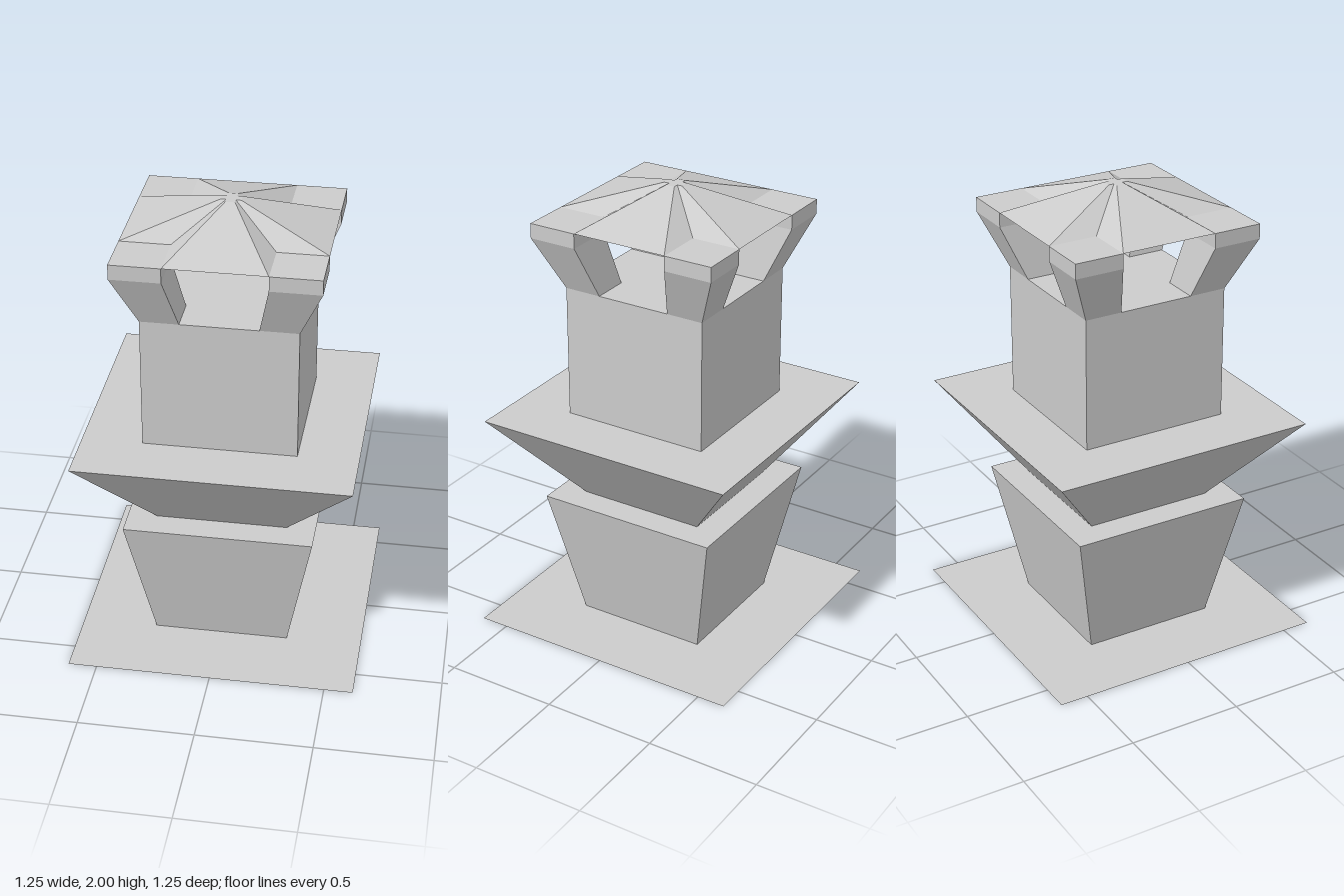
import * as THREE from 'three';

const material = new THREE.MeshStandardMaterial({ color: 0xcccccc, flatShading: true });
const thin = new THREE.MeshStandardMaterial({ color: 0xcccccc, flatShading: true, side: THREE.DoubleSide });

function part(name, geometry, mat = material) {
  const mesh = new THREE.Mesh(geometry, mat);
  mesh.name = name;
  return mesh;
}

// Square solid of revolution from [half width, height] pairs, bottom to top
function squareStack(profile) {
  const points = profile.map(([half, y]) => new THREE.Vector2(half * Math.SQRT2, y));
  return new THREE.LatheGeometry(points, 4, Math.PI / 4).toNonIndexed();
}

// Corner post that leans outward, then rises straight to the roof edge
function postGeometry() {
  const geometry = new THREE.BoxGeometry(1, 1, 1, 1, 2, 1);
  const levels = [[1.575, 0.165, 0.33], [1.81, 0.215, 0.43], [1.875, 0.215, 0.43]];
  const pos = geometry.attributes.position;
  for (let i = 0; i < pos.count; i++) {
    const [y, inner, outer] = levels[Math.round((pos.getY(i) + 0.5) * 2)];
    pos.setXYZ(i, pos.getX(i) > 0 ? outer : inner, y, pos.getZ(i) > 0 ? outer : inner);
  }
  return geometry.toNonIndexed();
}

// Cross-shaped ring of 12 points: a = half arm width, b = arm reach
function crossRing(a, b, y) {
  const ring = [];
  let arm = [[-a, b], [a, b], [a, a]];
  for (let k = 0; k < 4; k++) {
    ring.push(...arm.map(([x, z]) => [x, y, z]));
    arm = arm.map(([x, z]) => [z, -x]);
  }
  return ring;
}

// Hollow cross-shaped roof tapering to a tiny flat cross
function roofGeometry() {
  const low = crossRing(0.215, 0.43, 1.875);
  const high = crossRing(0.02, 0.043, 2);
  const v = [];
  for (let i = 0; i < 12; i++) {
    const j = (i + 1) % 12;
    v.push(...low[i], ...low[j], ...high[j], ...low[i], ...high[j], ...high[i]);
    v.push(0, 2, 0, ...high[i], ...high[j]);
  }
  const geometry = new THREE.BufferGeometry();
  geometry.setAttribute('position', new THREE.Float32BufferAttribute(v, 3));
  geometry.computeVertexNormals();
  return geometry;
}

export function createModel() {
  const model = new THREE.Group();
  model.name = 'lanternTower';

  // Ground sheet
  model.add(part('groundSheet', new THREE.PlaneGeometry(1.25, 1.25).rotateX(-Math.PI / 2), thin));

  // Stacked square body
  model.add(part('lowerBase', squareStack([[0.295, 0], [0.41, 0.592], [0, 0.592]])));
  model.add(part('flaredPlatform', squareStack([[0.285, 0.592], [0.59, 0.99], [0, 0.99]])));
  model.add(part('column', squareStack([[0.33, 0.99], [0.33, 1.575], [0, 1.575]])));

  // Corner posts
  const post = postGeometry();
  for (let k = 0; k < 4; k++) {
    const mesh = part('cornerPost', post);
    mesh.rotation.y = k * Math.PI / 2;
    model.add(mesh);
  }

  model.add(part('roof', roofGeometry(), thin));
  return model;
}
